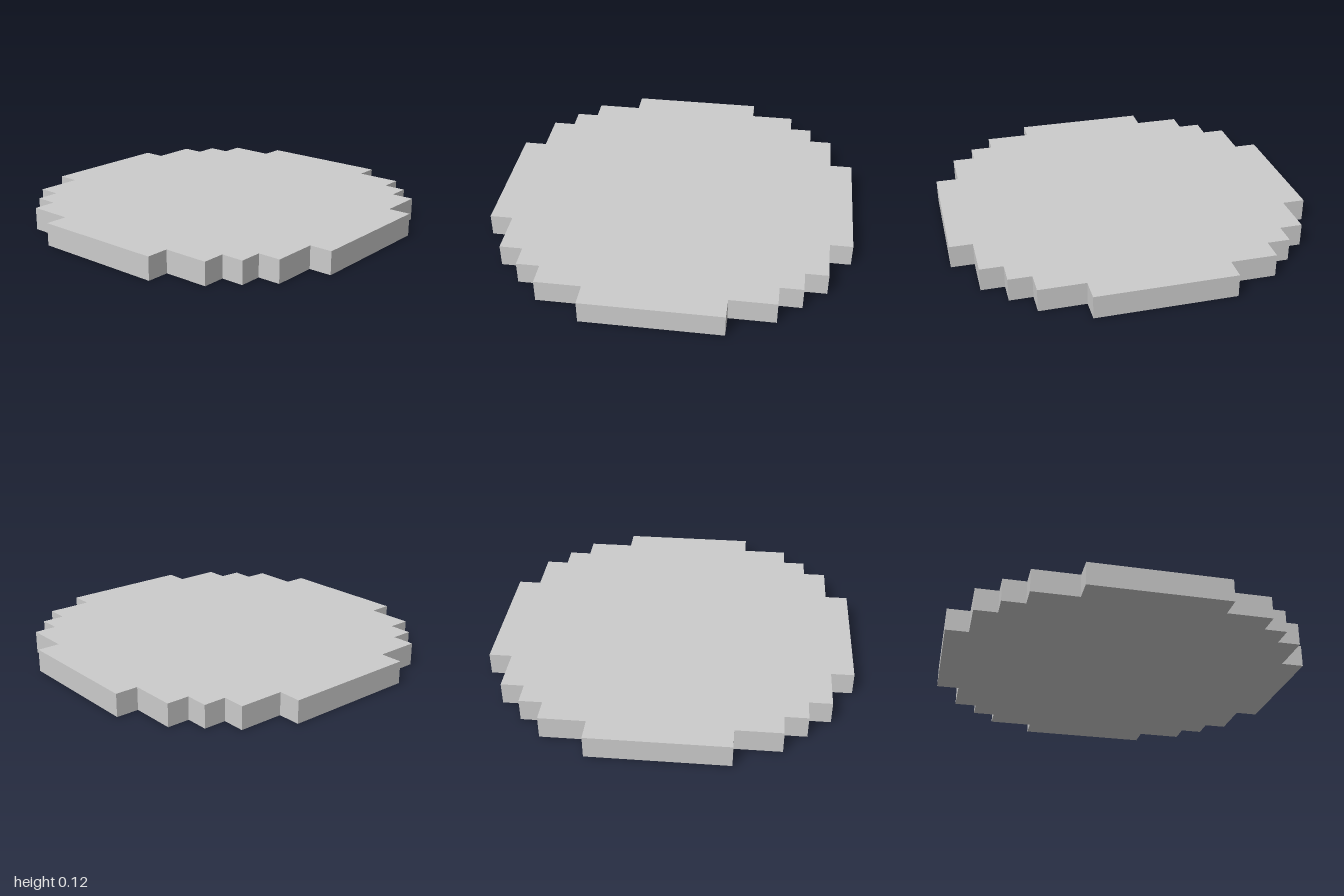
import * as THREE from 'three';

const UNIT = 1 / 8; // size of one block

// Stepped corner of the disc, in blocks, counter-clockwise
const CORNER = [[8, 3], [7, 3], [7, 5], [6, 5], [6, 6], [5, 6], [5, 7], [3, 7], [3, 8]];

export function createModel() {
  const group = new THREE.Group();
  group.name = 'blockyDisc';

  // Repeat the corner in four quarter turns to close the outline
  const outline = [];
  for (let turn = 0; turn < 4; turn++) {
    for (const [a, b] of CORNER) {
      let x = a, y = b;
      for (let i = 0; i < turn; i++) [x, y] = [-y, x];
      outline.push(new THREE.Vector2(x * UNIT, y * UNIT));
    }
  }

  // Flat slab, one block thick, lying on the ground
  const geometry = new THREE.ExtrudeGeometry(new THREE.Shape(outline), {
    depth: UNIT,
    bevelEnabled: false,
  });
  geometry.rotateX(-Math.PI / 2);

  const slab = new THREE.Mesh(
    geometry,
    new THREE.MeshStandardMaterial({ color: 0xcccccc, flatShading: true })
  );
  slab.name = 'steppedSlab';
  group.add(slab);
  return group;
}
